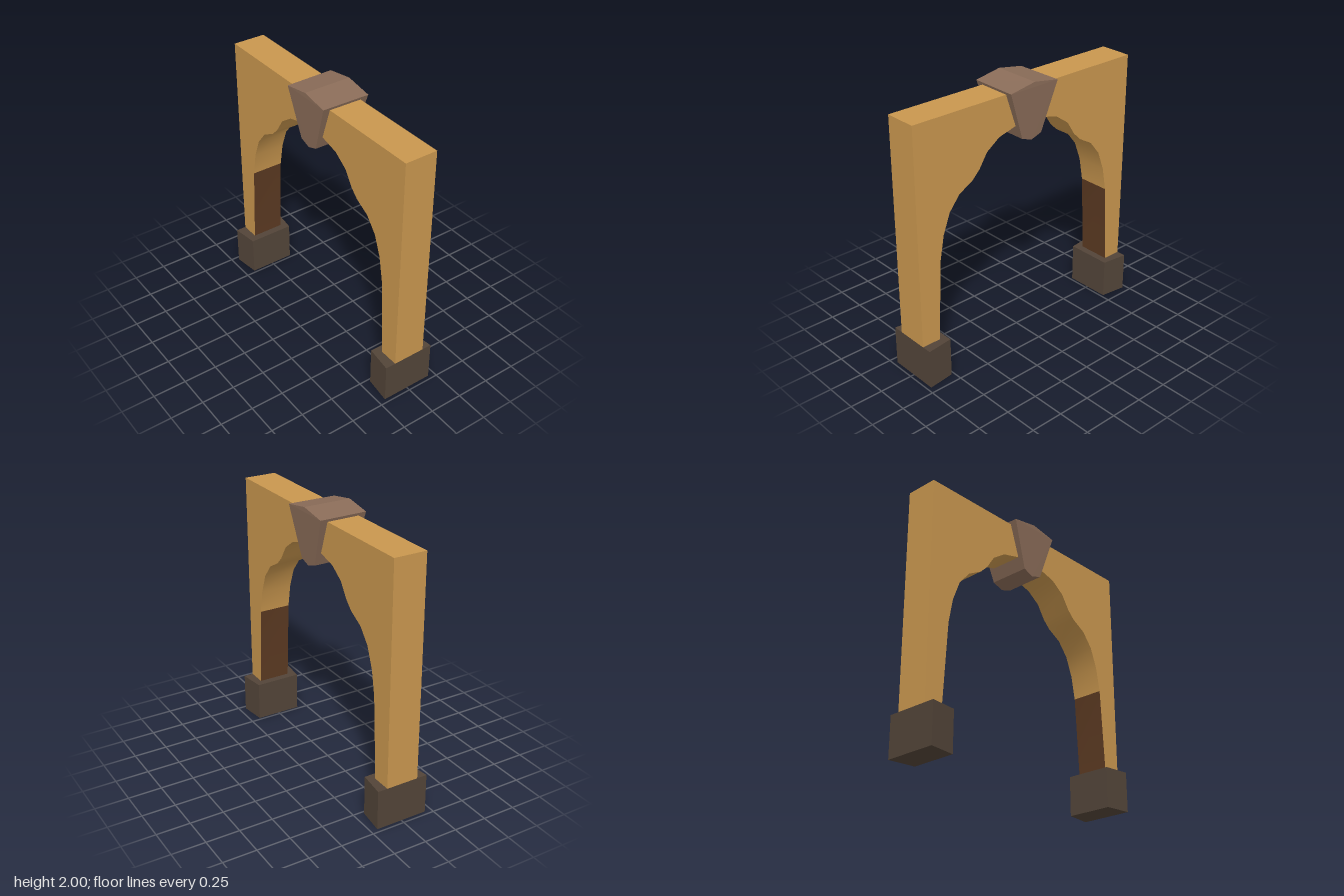
import * as THREE from 'three';
import { toCreasedNormals } from 'three/addons/utils/BufferGeometryUtils.js';

const mat = (name, color) => new THREE.MeshStandardMaterial({ name, color });

// Extrude an outline [x, y] from z0 to z1
function extrude(points, z0, z1) {
  const shape = new THREE.Shape(points.map(([x, y]) => new THREE.Vector2(x, y)));
  const geo = new THREE.ExtrudeGeometry(shape, { depth: z1 - z0, bevelEnabled: false });
  return geo.translate(0, 0, z0);
}

// Move every vertex by a rule, then refresh the flat normals
function reshape(geo, rule) {
  const p = geo.attributes.position, v = new THREE.Vector3();
  for (let i = 0; i < p.count; i++) {
    rule(v.fromBufferAttribute(p, i));
    p.setXYZ(i, v.x, v.y, v.z);
  }
  geo.computeVertexNormals();
  return geo;
}

export function createModel() {
  const sandstone = mat('sandstone', 0xc8964e);
  const darkTimber = mat('dark brown lining', 0x5c3a22);
  const keyStone = mat('brown keystone', 0x8a6c58);
  const baseStone = mat('dark base stone', 0x524438);
  const model = new THREE.Group();
  model.name = 'archway';

  // Wall with a scalloped opening, mirrored about the centre
  const half = [
    [0.825, 0.3], [0.79, 0.92], [0.757, 1.1], [0.7, 1.25], [0.615, 1.355], [0.5, 1.42],
    [0.44, 1.48], [0.372, 1.585], [0.265, 1.66], [0.115, 1.7],
  ];
  const mirrored = half.map(([x, y]) => [-x, y]).reverse();
  const outline = [[0.97, 0.3], [0.97, 1.945], [-0.97, 1.945], [-0.97, 0.3], ...mirrored.reverse(), ...half.slice().reverse()];
  const wallGeo = toCreasedNormals(extrude(outline, -0.125, 0.12), 0.7);

  // The lower inner faces of both legs take the dark lining colour
  const p = wallGeo.attributes.position, n = wallGeo.attributes.normal;
  wallGeo.clearGroups();
  for (let i = 0; i < p.count; i += 3) {
    const top = Math.max(p.getY(i), p.getY(i + 1), p.getY(i + 2));
    const inward = n.getX(i) * p.getX(i) < -0.1 && Math.abs(n.getZ(i)) < 0.5;
    wallGeo.addGroup(i, 3, inward && top < 0.95 ? 1 : 0);
  }
  const wall = new THREE.Mesh(wallGeo, [sandstone, darkTimber]);
  wall.name = 'archWall';
  model.add(wall);

  // Keystone: six-sided wedge, deeper at the top and a little wider at the back
  const keyGeo = reshape(extrude(
    [[0, 1.575], [0.087, 1.605], [0.21, 1.965], [0, 2], [-0.21, 1.965], [-0.087, 1.605]], -1, 1,
  ), (v) => {
    const t = THREE.MathUtils.clamp((v.y - 1.59) / 0.375, 0, 1);
    if (v.z > 0) v.x *= 0.97;
    v.z = v.z > 0 ? 0.152 + 0.024 * t : -0.155 - 0.028 * t;
  });
  const key = new THREE.Mesh(keyGeo, keyStone);
  key.name = 'keystone';
  model.add(key);

  // Foot blocks, narrower towards the opening
  for (const side of [1, -1]) {
    const geo = reshape(new THREE.BoxGeometry(0.2, 0.3, 2).translate(side * 0.87, 0.15, 0), (v) => {
      v.z *= Math.abs(v.x) > 0.87 ? 0.198 : 0.174;
    });
    const foot = new THREE.Mesh(geo, baseStone);
    foot.name = side > 0 ? 'leftFoot' : 'rightFoot';
    model.add(foot);
  }
  return model;
}
